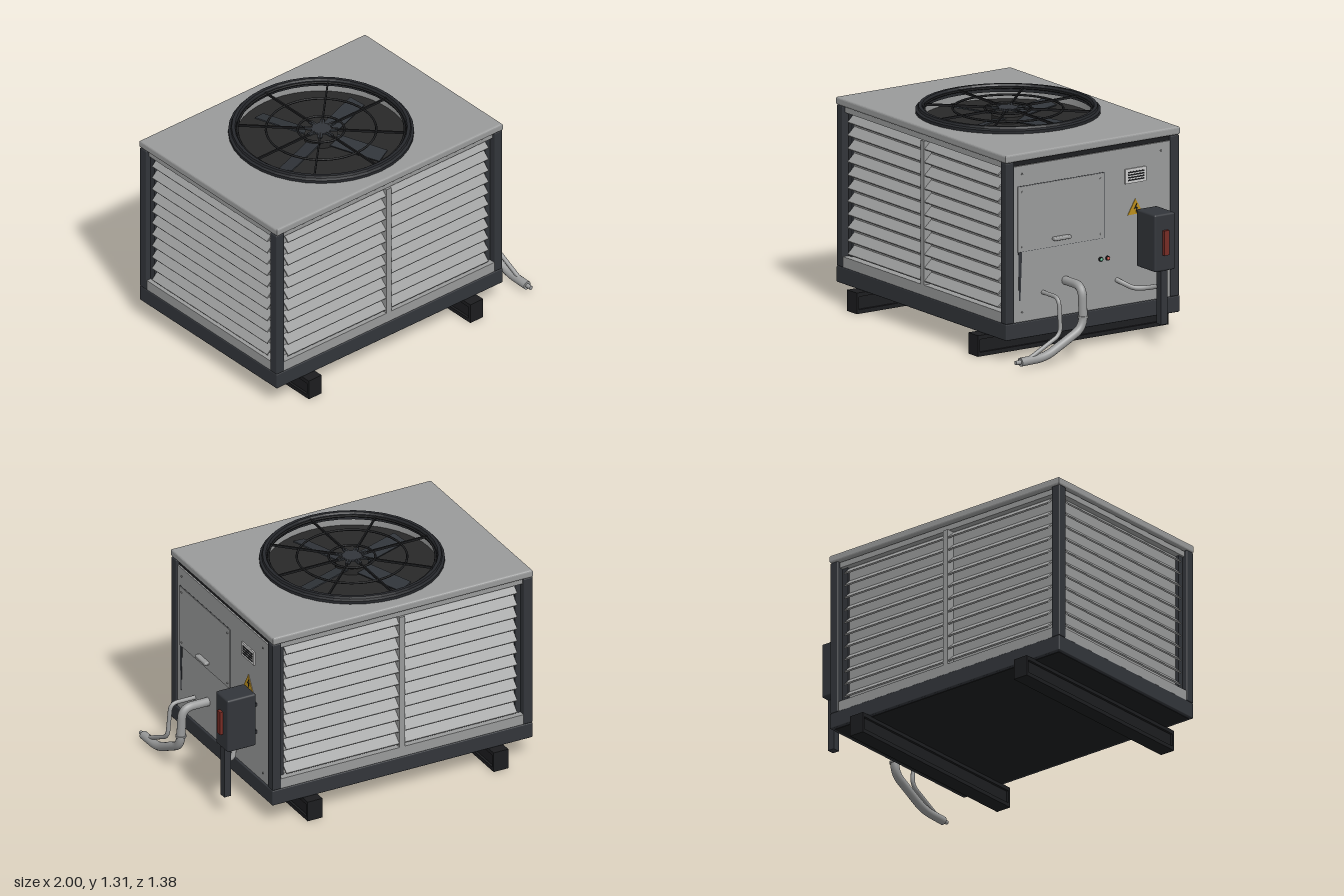
import * as THREE from 'three';
import { RoundedBoxGeometry } from 'three/addons/geometries/RoundedBoxGeometry.js';

const mat = (color, flatShading = false) =>
  new THREE.MeshStandardMaterial({ color, flatShading, side: THREE.DoubleSide });
const GREY = mat(0x999a9a), DARK = mat(0x32353a), BLACK = mat(0x1c1d1f), WHITE = mat(0xcccccc);
const WELL = mat(0x282828), BLADE = mat(0x303439), RING = mat(0x25272b, true);
const RED = mat(0x762b24), YELLOW = mat(0xbd8f1c), LAMP_RED = mat(0xd0584c), LAMP_GREEN = mat(0x66b894);

const CX = -0.115, W = 1.77, D = 1.26; // cabinet centre and footprint
const Y0 = 0.23, Y1 = 1.22;            // cabinet wall bottom and top

function add(parent, name, geo, material, x = 0, y = 0, z = 0) {
  const m = new THREE.Mesh(geo, material);
  m.name = name;
  m.position.set(x, y, z);
  parent.add(m);
  return m;
}
// Box given by its extents on each axis
function box(parent, name, material, x0, x1, y0, y1, z0, z1, r = 0) {
  const s = [x1 - x0, y1 - y0, z1 - z0];
  const g = r ? new RoundedBoxGeometry(...s, 2, r) : new THREE.BoxGeometry(...s);
  return add(parent, name, g, material, (x0 + x1) / 2, (y0 + y1) / 2, (z0 + z1) / 2);
}
function group(parent, name) {
  const g = new THREE.Group();
  g.name = name;
  parent.add(g);
  return g;
}

// Louvred wall facing +z, outer face at local z = 0
function louvreWall(parent, name, width, mullion) {
  const g = group(parent, name), h = width / 2, inner = h - 0.04;
  box(g, 'backing', GREY, -inner - 0.005, inner + 0.005, Y0, Y1, -0.075, -0.06);
  box(g, 'bottomRail', GREY, -h, h, Y0, 0.295, -0.06, -0.005);
  box(g, 'topRail', GREY, -h, h, 1.18, Y1 - 0.005, -0.06, -0.02);
  const blade = new THREE.Shape([[0, 0], [0.005, 0.008], [-0.047, 0.056], [-0.05, 0.048]]
    .map(p => new THREE.Vector2(...p)));
  const geo = new THREE.ExtrudeGeometry(blade, { depth: inner * 2, bevelEnabled: false });
  geo.rotateY(-Math.PI / 2).translate(inner, 0, 0);
  for (let i = 0; i < 11; i++)
    add(g, 'louvre', geo, GREY, 0, 0.312 + i * 0.0812, -0.015);
  if (mullion) box(g, 'mullion', GREY, -0.018, 0.018, 0.295, 1.18, -0.06, -0.005);
  return g;
}

// Pipe through points with rounded bends
function pipe(parent, name, pts, r, bend) {
  const v = pts.map(p => new THREE.Vector3(...p)), path = new THREE.CurvePath();
  let from = v[0];
  for (let i = 1; i < v.length - 1; i++) {
    const a = v[i].clone().add(v[i - 1].clone().sub(v[i]).setLength(bend));
    const b = v[i].clone().add(v[i + 1].clone().sub(v[i]).setLength(bend));
    path.add(new THREE.LineCurve3(from, a));
    path.add(new THREE.QuadraticBezierCurve3(a, v[i], b));
    from = b;
  }
  path.add(new THREE.LineCurve3(from, v[v.length - 1]));
  const g = group(parent, name);
  add(g, 'tube', new THREE.TubeGeometry(path, 80, r, 14), GREY);
  const cap = add(g, 'tubeEnd', new THREE.CircleGeometry(r, 14), GREY);
  cap.position.copy(v[v.length - 1]);
  cap.lookAt(v[v.length - 1].clone().multiplyScalar(2).sub(v[v.length - 2]));
}

function buildCabinet(root) {
  const g = group(root, 'cabinet');
  // Skids with recessed sides
  for (const x of [-0.75, 0.515]) {
    const s = group(g, 'skid');
    box(s, 'web', BLACK, x - 0.035, x + 0.035, 0.01, 0.12, -0.68, 0.68);
    for (const y of [0, 0.105]) box(s, 'flange', BLACK, x - 0.05, x + 0.05, y, y + 0.025, -0.692, 0.692);
    for (const z of [-0.692, 0.677]) box(s, 'endCap', BLACK, x - 0.05, x + 0.05, 0, 0.13, z, z + 0.015);
  }
  box(g, 'basePan', DARK, -1, 0.772, 0.13, Y0, -0.632, 0.632, 0.006);
  box(g, 'underside', BLACK, -0.98, 0.75, 0.127, 0.14, -0.61, 0.61);
  box(g, 'core', BLACK, -0.92, 0.735, Y0, 1.2, -0.55, 0.55);
  box(g, 'panelTopGap', BLACK, 0.71, 0.75, 1.18, Y1, -0.57, 0.57);
  // Corner posts with dark returns behind them
  for (const sz of [-1, 1]) {
    for (const x of [-0.97, 0.74]) {
      box(g, 'cornerPost', DARK, x - 0.03, x + 0.03, Y0, Y1, sz * 0.6 - 0.03, sz * 0.6 + 0.03, 0.006);
      const inward = x < 0 ? x + 0.035 : x - 0.04;
      box(g, 'postReturn', DARK, inward - 0.03, inward + 0.03, Y0, Y1, sz * 0.56 - 0.025, sz * 0.56 + 0.025);
    }
  }

  louvreWall(g, 'frontLouvres', W - 0.12, true).position.set(CX, 0, 0.63);
  const back = louvreWall(g, 'backLouvres', W - 0.12, true);
  back.position.set(CX, 0, -0.63);
  back.rotation.y = Math.PI;
  const side = louvreWall(g, 'leftOuterLouvres', D - 0.12, false);
  side.position.x = -1;
  side.rotation.y = -Math.PI / 2;

  // Lid with the fan opening
  const b = 0.012, hw = W / 2 - b, hd = D / 2 + 0.004 - b;
  const lid = new THREE.Shape([[-hw, -hd], [hw, -hd], [hw, hd], [-hw, hd]].map(p => new THREE.Vector2(...p)));
  lid.holes.push(new THREE.Path().absarc(0, 0, 0.54, 0, Math.PI * 2, true));
  const lidGeo = new THREE.ExtrudeGeometry(lid,
    { depth: 0.05 - 2 * b, bevelSize: b, bevelThickness: b, bevelSegments: 3, curveSegments: 24 });
  add(g, 'lid', lidGeo.rotateX(-Math.PI / 2), GREY, CX, Y1 + b, 0);
}

function buildFan(root) {
  const g = group(root, 'fan');
  g.position.x = CX;
  const ring = [[0.51, 1.262], [0.555, 1.262], [0.555, 1.288], [0.54, 1.296], [0.535, 1.31],
    [0.515, 1.31], [0.51, 1.3], [0.51, 1.262]].map(p => new THREE.Vector2(...p));
  add(g, 'ring', new THREE.LatheGeometry(ring, 36), RING);
  add(g, 'wellWall', new THREE.CylinderGeometry(0.522, 0.522, 0.06, 48, 1, true), GREY, 0, 1.237, 0);
  add(g, 'wellFloor', new THREE.CylinderGeometry(0.525, 0.525, 0.01, 48), WELL, 0, 1.212, 0);
  // Grille: concentric wires and spokes
  for (const r of [0.5, 0.33, 0.14])
    add(g, 'grilleRing', new THREE.TorusGeometry(r, 0.007, 6, 48).rotateX(Math.PI / 2), BLACK, 0, 1.29, 0);
  for (let i = 0; i < 8; i++) {
    const spoke = group(g, 'spoke');
    spoke.rotation.y = i * Math.PI / 4;
    box(spoke, 'bar', BLACK, 0.05, 0.515, 1.284, 1.298, -0.005, 0.005);
    box(spoke, 'hubTab', BLADE, 0.04, 0.1, 1.287, 1.297, -0.014, 0.014);
  }
  add(g, 'grilleCap', new THREE.CylinderGeometry(0.06, 0.06, 0.012, 16), DARK, 0, 1.292, 0);
  // Rotor
  add(g, 'hub', new THREE.CylinderGeometry(0.1, 0.1, 0.04, 24), WELL, 0, 1.237, 0);
  for (let i = 0; i < 4; i++) {
    const arm = group(g, 'blade');
    arm.rotation.y = 0.34 + i * Math.PI / 2;
    box(arm, 'bladePlate', BLADE, 0.09, 0.43, 1.237, 1.245, -0.05, 0.05).rotation.x = 0.25;
  }
}

function buildServiceSide(root) {
  const g = group(root, 'serviceSide');
  box(g, 'sidePanel', GREY, 0.735, 0.76, Y0, 1.19, -0.57, 0.57);
  box(g, 'doorSeam', DARK, 0.755, 0.761, 0.659, 1.066, -0.09, 0.541);
  box(g, 'door', GREY, 0.755, 0.765, 0.662, 1.063, -0.087, 0.541);
  box(g, 'handle', GREY, 0.76, 0.795, 0.7, 0.722, 0.167, 0.292, 0.008);
  for (const [y, z] of [[1.03, 0.51], [1.03, -0.06], [0.69, 0.51], [0.69, -0.06], [0.29, 0.51], [0.29, -0.5], [1.14, 0.51], [1.14, -0.5]])
    add(g, 'screw', new THREE.CylinderGeometry(0.006, 0.006, 0.006, 8).rotateZ(Math.PI / 2), GREY, 0.766, y, z);

  // Vent plate
  box(g, 'ventPlate', WHITE, 0.755, 0.768, 0.97, 1.06, -0.392, -0.238);
  for (let i = 0; i < 4; i++)
    box(g, 'ventSlot', BLACK, 0.765, 0.771, 0.986 + i * 0.016, 0.994 + i * 0.016, -0.374, -0.256);

  // Flat plates on the panel: tapered slot, warning triangle and its bolt
  const flat = pts => new THREE.ExtrudeGeometry(new THREE.Shape(pts.map(p => new THREE.Vector2(...p))),
    { depth: 0.004, bevelEnabled: false }).rotateY(Math.PI / 2);
  add(g, 'slot', flat([[-0.535, 0.66], [-0.53, 0.36], [-0.52, 0.36], [-0.508, 0.66]]), DARK, 0.758);
  add(g, 'warningPlate', flat([[-0.055, 0], [0.055, 0], [0, 0.095]]), YELLOW, 0.76, 0.775, -0.315);
  add(g, 'warningBolt', flat([[0.004, 0.01], [0.016, 0.042], [0.004, 0.04], [0.01, 0.068], [-0.01, 0.034], [0.003, 0.036]]),
    BLACK, 0.763, 0.775, -0.315);

  // Indicator lamps
  [[LAMP_GREEN, -0.062], [LAMP_RED, -0.112]].forEach(([m, z]) => {
    add(g, 'lampBezel', new THREE.CylinderGeometry(0.014, 0.014, 0.014, 16).rotateZ(Math.PI / 2), BLACK, 0.765, 0.533, z);
    add(g, 'lamp', new THREE.SphereGeometry(0.01, 12, 8), m, 0.772, 0.533, z);
  });

  // Isolator box and its cable
  box(g, 'isolatorBox', DARK, 0.785, 0.98, 0.46, 0.812, -0.455, -0.305, 0.012);
  for (const y of [0.53, 0.715])
    box(g, 'boxBracket', DARK, 0.755, 0.79, y - 0.01, y + 0.01, -0.42, -0.34);
  box(g, 'isolatorSwitch', RED, 0.975, 1, 0.56, 0.712, -0.397, -0.36);
  box(g, 'conduit', DARK, 0.928, 0.974, 0.13, 0.47, -0.402, -0.354);
  const cable = new THREE.CatmullRomCurve3([[0.755, 0.39, -0.18], [0.79, 0.375, -0.2], [0.83, 0.343, -0.26],
    [0.88, 0.345, -0.33], [0.93, 0.36, -0.37]].map(p => new THREE.Vector3(...p)));
  add(g, 'cable', new THREE.TubeGeometry(cable, 30, 0.015, 10), GREY);

  // Refrigerant pipes
  pipe(g, 'largePipe', [[0.75, 0.44, 0.192], [0.935, 0.44, 0.192], [0.947, 0.19, 0.192],
    [0.947, 0.045, 0.47], [0.947, 0.04, 0.65]], 0.027, 0.07);
  pipe(g, 'smallPipe', [[0.75, 0.39, 0.355], [0.925, 0.39, 0.355], [0.945, 0.17, 0.355],
    [0.947, 0.045, 0.6], [0.947, 0.04, 0.67]], 0.013, 0.05);
  add(g, 'pipeCollar', new THREE.CylinderGeometry(0.033, 0.033, 0.012, 16), GREY, 0.944, 0.255, 0.192);
  add(g, 'pipeTip', new THREE.CylinderGeometry(0.013, 0.013, 0.04, 14).rotateX(Math.PI / 2), GREY, 0.947, 0.04, 0.665);
}

export function createModel() {
  const root = new THREE.Group();
  root.name = 'condenserUnit';
  buildCabinet(root);
  buildFan(root);
  buildServiceSide(root);
  return root;
}
